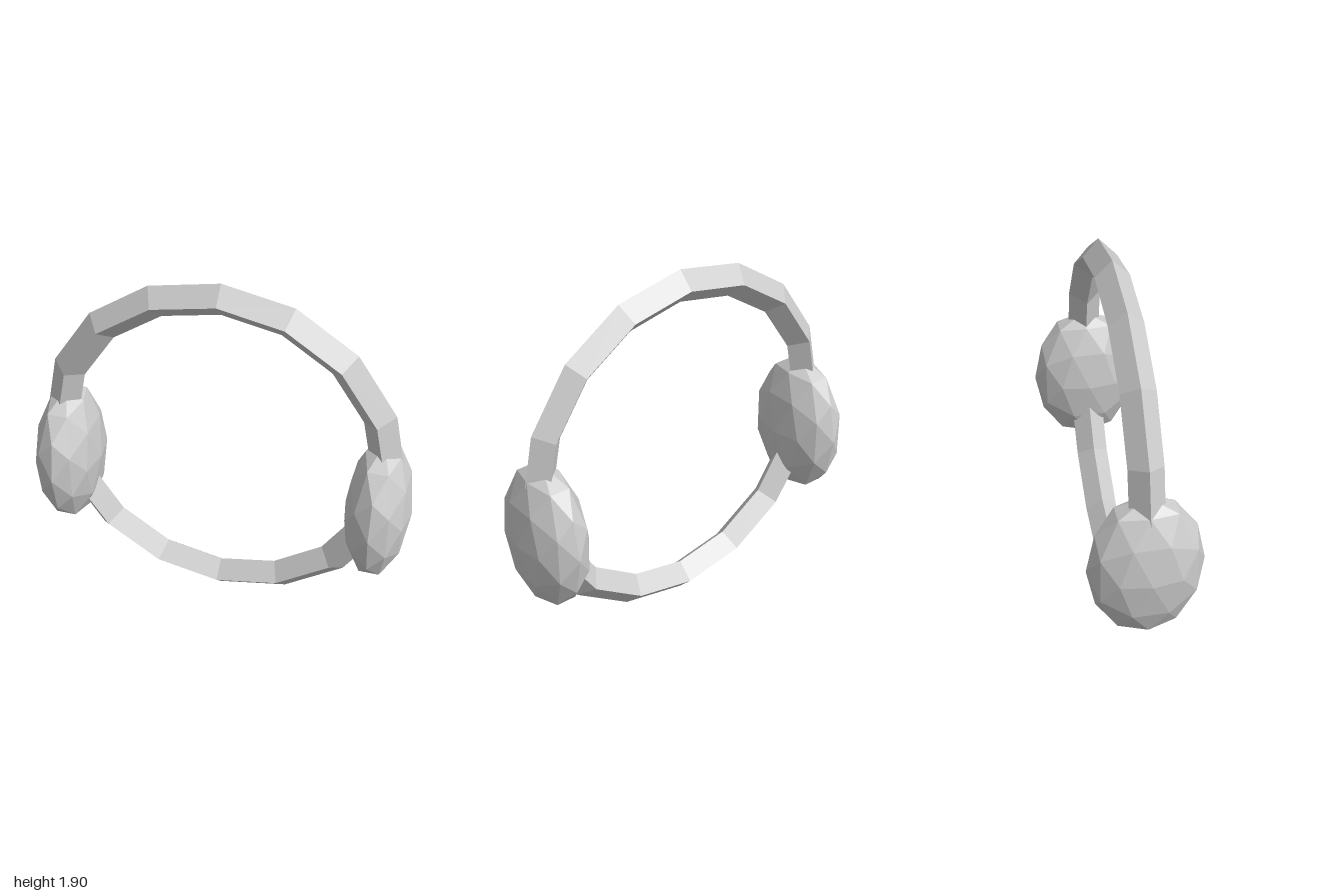
import * as THREE from 'three';

export function createModel() {
  const model = new THREE.Group();
  model.name = 'headphones';
  const grey = new THREE.MeshStandardMaterial({ color: 0xcccccc, flatShading: true });
  grey.name = 'light grey';

  // Full ring band with a diamond cross-section
  const band = new THREE.Mesh(new THREE.TorusGeometry(0.865, 0.085, 4, 16), grey);
  band.name = 'band';
  band.position.y = 0.953;
  model.add(band);

  // Faceted ear cups, one on each side
  const cupGeometry = new THREE.IcosahedronGeometry(1, 1).scale(0.17, 0.4, 0.285);
  for (const [name, side] of [['leftEarCup', 1], ['rightEarCup', -1]]) {
    const cup = new THREE.Mesh(cupGeometry, grey);
    cup.name = name;
    cup.position.set(side * 0.83, 0.74, 0);
    model.add(cup);
  }
  return model;
}
